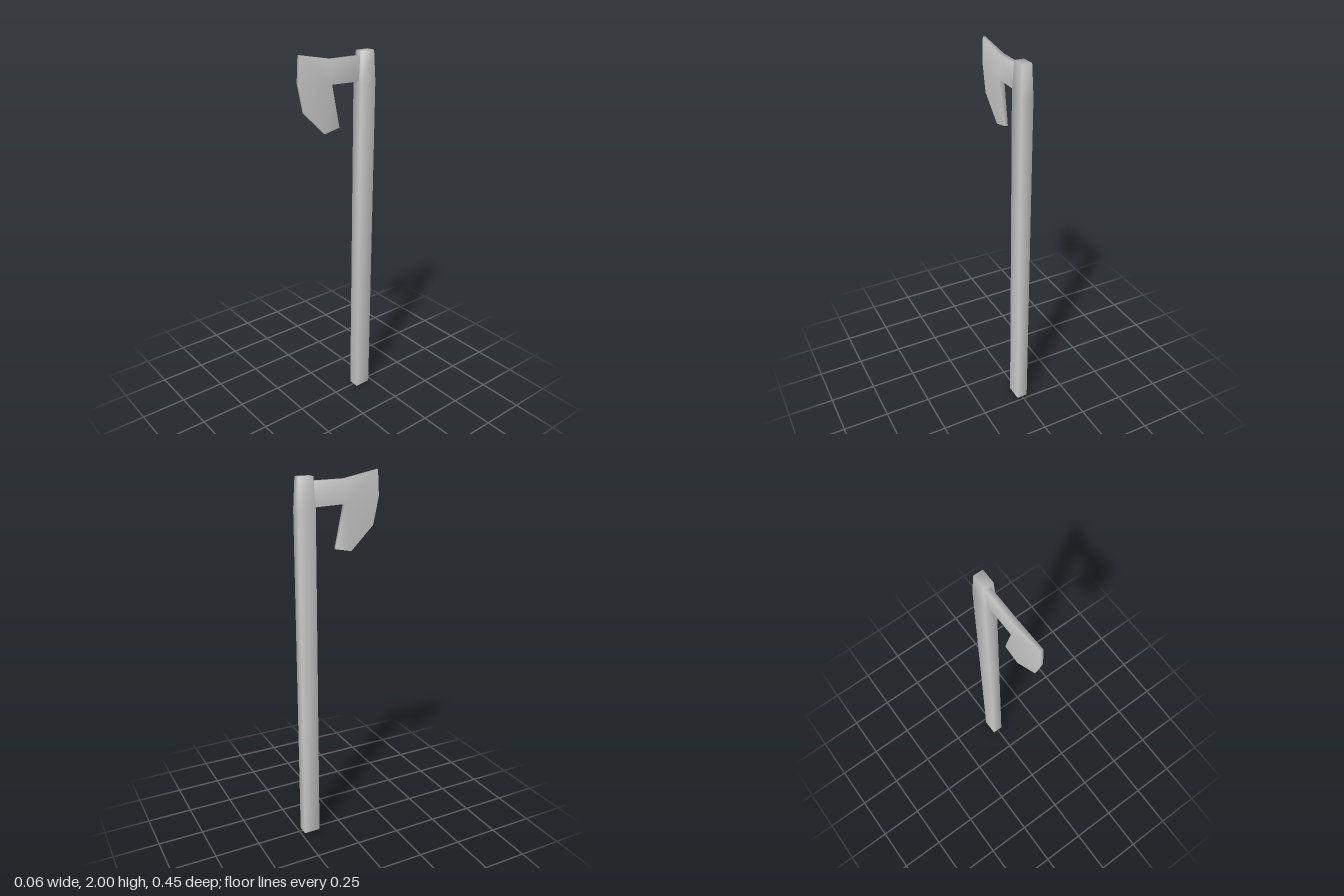
import * as THREE from 'three';

const material = new THREE.MeshStandardMaterial({ color: 0xcccccc });

function smoothMesh(name, positions, index) {
  const geometry = new THREE.BufferGeometry();
  geometry.setAttribute('position', new THREE.Float32BufferAttribute(positions, 3));
  geometry.setIndex(index);
  geometry.computeVertexNormals();
  const mesh = new THREE.Mesh(geometry, material);
  mesh.name = name;
  return mesh;
}

// Four-sided shaft, tapered near the top, with softened shading
function createHandle() {
  const rings = [[0, 0.031, 0.046], [1.83, 0.031, 0.046], [1.985, 0.025, 0.038]]; // y, half x, half z
  const positions = [], index = [];
  for (const [y, hx, hz] of rings) {
    for (const [sx, sz] of [[1, 1], [1, -1], [-1, -1], [-1, 1]]) {
      positions.push(sx * hx - 0.001, y, sz * hz - 0.184);
    }
  }
  for (let r = 0; r < rings.length - 1; r++) {
    for (let i = 0; i < 4; i++) {
      const a = r * 4 + i, b = r * 4 + (i + 1) % 4;
      index.push(a, b, b + 4, a, b + 4, a + 4);
    }
  }
  const t = (rings.length - 1) * 4;
  index.push(t, t + 1, t + 2, t, t + 2, t + 3, 0, 2, 1, 0, 3, 2);
  return smoothMesh('handle', positions, index);
}

// Bearded blade: outline in the z-y plane, thinning towards the cutting edge
function createBlade() {
  const outline = [ // z, y, half thickness
    [0.217, 2.0, 0.007],
    [0.03, 1.963, 0.0135],
    [-0.148, 1.961, 0.0135],
    [-0.148, 1.836, 0.0135],
    [0.03, 1.842, 0.0135],
    [-0.02, 1.62, 0.008],
    [0.07, 1.602, 0.007],
    [0.195, 1.725, 0.007],
    [0.225, 1.868, 0.007],
  ];
  const cheek = [[1, 2, 3], [1, 3, 4], [0, 1, 4], [0, 4, 8], [8, 4, 7], [4, 6, 7], [4, 5, 6]];
  const n = outline.length, positions = [], index = [];
  for (const side of [1, -1]) {
    for (const [z, y, h] of outline) positions.push(side * h - 0.004, y, z);
  }
  for (const [a, b, c] of cheek) index.push(c, b, a, a + n, b + n, c + n);
  for (let i = 0; i < n; i++) {
    const j = (i + 1) % n;
    index.push(i, j, j + n, i, j + n, i + n);
  }
  return smoothMesh('axeBlade', positions, index);
}

export function createModel() {
  const group = new THREE.Group();
  group.name = 'axe';
  group.add(createHandle(), createBlade());
  return group;
}
